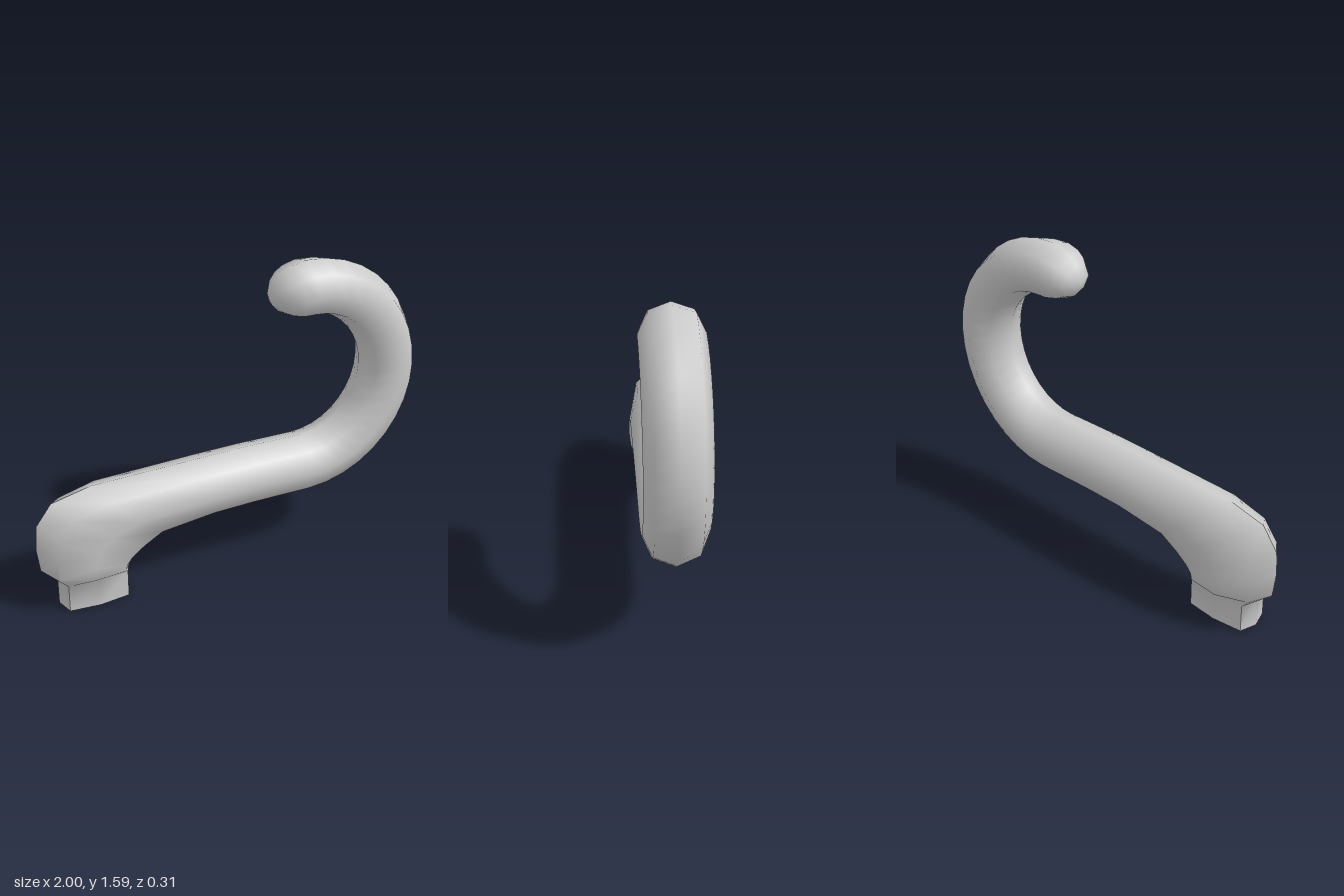
import * as THREE from 'three';
import { toCreasedNormals } from 'three/addons/utils/BufferGeometryUtils.js';

const SIDES = 8;

// Cross-section spanning p (arm top / inside of hook) to q (arm underside / outside of hook),
// with half-width w along z; square > 1 pushes the diagonal corners outwards.
const section = (p, q, w, square = 1) => ({ p, q, w, square });

// Cross-section from a centre, an in-plane unit direction towards p, and two radii.
const around = (x, y, dx, dy, r, w) =>
  section([x + dx * r, y + dy * r], [x - dx * r, y - dy * r], w);

// Skin a list of cross-sections, closed at both ends.
function loft(sections) {
  const pos = [], index = [];
  for (const { p, q, w, square } of sections) {
    const cx = (p[0] + q[0]) / 2, cy = (p[1] + q[1]) / 2;
    for (let j = 0; j < SIDES; j++) {
      const t = (j / SIDES) * Math.PI * 2;
      const k = j % 2 ? square : 1;
      const u = Math.cos(t) * k;
      pos.push(cx + u * (p[0] - cx), cy + u * (p[1] - cy), Math.sin(t) * k * w);
    }
  }
  const last = sections.length - 1;
  for (let i = 0; i < last; i++) {
    for (let j = 0; j < SIDES; j++) {
      const a = i * SIDES + j, b = i * SIDES + ((j + 1) % SIDES);
      index.push(a, a + SIDES, b, b, a + SIDES, b + SIDES);
    }
  }
  for (let j = 1; j < SIDES - 1; j++) {
    const e = last * SIDES;
    index.push(0, j, j + 1, e, e + j + 1, e + j);
  }
  const geo = new THREE.BufferGeometry();
  geo.setAttribute('position', new THREE.Float32BufferAttribute(pos, 3));
  geo.setIndex(index);
  return toCreasedNormals(geo, 1.0);
}

export function createModel() {
  const sections = [];

  // Rounded tip of the hook
  const tipDir = [-0.99, -0.12];
  for (const deg of [87, 72, 54, 36, 18]) {
    const a = THREE.MathUtils.degToRad(deg);
    const d = 0.185 * Math.sin(a), s = Math.cos(a);
    sections.push(around(0.4 + tipDir[0] * d, 1.451 + tipDir[1] * d, 0.12, -0.99, 0.137 * s, 0.153 * s));
  }

  // Hook: elliptical arc from the top round to the arm
  const steps = 18;
  for (let i = 0; i <= steps; i++) {
    const t = Math.PI * (0.5 - i / steps);
    const n = new THREE.Vector2(Math.cos(t) / 0.455, Math.sin(t) / 0.485).normalize();
    const r = THREE.MathUtils.lerp(0.137, 0.15, i / steps);
    sections.push(around(0.4 + 0.455 * Math.cos(t), 0.967 + 0.485 * Math.sin(t), -n.x, -n.y, r, 0.153));
  }

  // Arm, elbow and foot
  sections.push(
    section([0.1, 0.64], [0.1, 0.335], 0.153),
    section([-0.12, 0.64], [-0.12, 0.33], 0.153),
    section([-0.71, 0.635], [-0.34, 0.295], 0.153),
    section([-0.91, 0.59], [-0.42, 0.235], 0.153),
    section([-0.99, 0.48], [-0.48, 0.195], 0.153),
    section([-1.0, 0.35], [-0.51, 0.175], 0.152),
    section([-0.985, 0.22], [-0.53, 0.16], 0.145, 1.05),
    section([-0.905, 0.15], [-0.545, 0.145], 0.102, 1.2),
    section([-0.905, 0], [-0.545, 0], 0.102, 1.2),
  );

  const handle = new THREE.Mesh(loft(sections), new THREE.MeshStandardMaterial({ color: 0xcccccc }));
  handle.name = 'hookedHandle';
  const group = new THREE.Group();
  group.name = 'handle';
  group.add(handle);
  return group;
}
